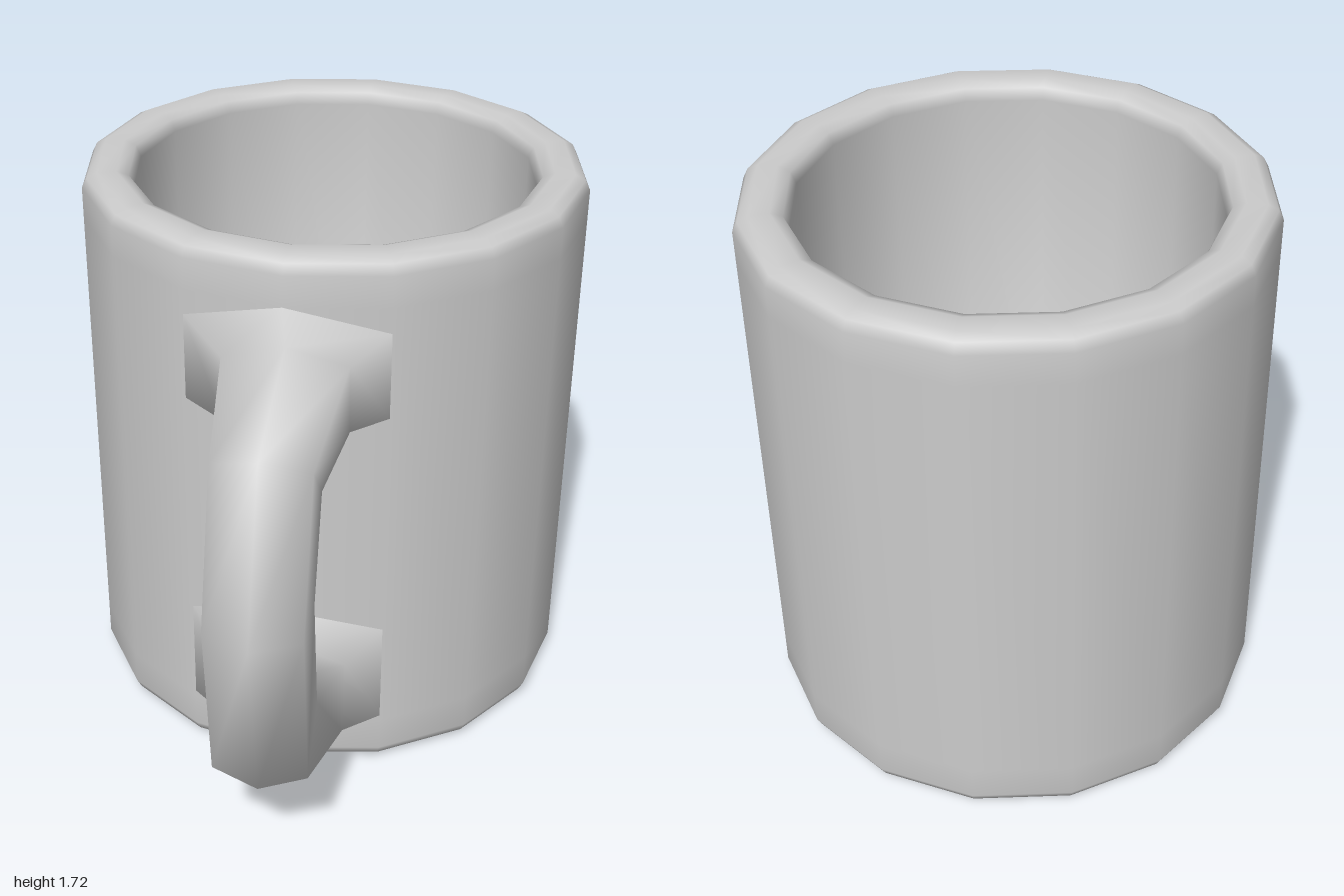
import * as THREE from 'three';

const DEG = Math.PI / 180;
const RADIUS = 0.765;
const TURN = 6; // angle of the first body corner, degrees from +z towards +x
const HANDLE = 30.5; // heading of the handle

// Hexagonal ring in the handle's own frame (r: away from the body axis, t: sideways).
// tilt is the direction of the outer ridge in the r-y plane.
function section(r, y, tilt, ridge, side, halfWidth) {
  const dr = Math.cos(tilt * DEG), dy = Math.sin(tilt * DEG);
  const at = (d, t) => [r + dr * d, y + dy * d, t];
  return [
    at(ridge, 0), at(side, halfWidth), at(-side, halfWidth),
    at(-ridge, 0), at(-side, -halfWidth), at(side, -halfWidth),
  ];
}

// Ring where the handle meets the wall, resting on three body corners.
function foot(y, up, ridge, side) {
  const at = (corner, dy) => {
    const a = (TURN + corner * 22.5 - HANDLE) * DEG;
    return [RADIUS * Math.cos(a), y + up * dy, RADIUS * Math.sin(a)];
  };
  return [at(1, ridge), at(2, side), at(2, -side), at(1, -ridge), at(0, -side), at(0, side)];
}

// Joins consecutive rings with quads.
function loft(rings) {
  const n = rings[0].length, index = [];
  const c = Math.cos(HANDLE * DEG), s = Math.sin(HANDLE * DEG);
  const position = rings.flat().flatMap(([r, y, t]) => [r * s + t * c, y, r * c - t * s]);
  for (let i = 0; i < rings.length - 1; i++) {
    for (let j = 0; j < n; j++) {
      const a = i * n + j, b = i * n + (j + 1) % n;
      index.push(a, a + n, b, b, a + n, b + n);
    }
  }
  const geometry = new THREE.BufferGeometry();
  geometry.setAttribute('position', new THREE.Float32BufferAttribute(position, 3));
  geometry.setIndex(index);
  geometry.computeVertexNormals();
  return geometry;
}

export function createModel() {
  const mug = new THREE.Group();
  mug.name = 'mug';
  const material = new THREE.MeshStandardMaterial({ color: 0xcccccc });

  // Body: sixteen-sided cup with rounded foot and rim, hollow inside
  const profile = [
    [0, 0], [0.69, 0], [0.72, 0.003], [0.75, 0.02], [RADIUS, 0.05], [RADIUS, 0.16],
    [RADIUS, 1.58], [RADIUS, 1.675], [0.75, 1.705], [0.72, 1.72], [0.66, 1.72],
    [0.625, 1.705], [0.61, 1.67], [0.61, 0.14], [0, 0.12],
  ].map(([x, y]) => new THREE.Vector2(x, y));
  const body = new THREE.Mesh(new THREE.LatheGeometry(profile, 16, TURN * DEG), material);
  body.name = 'body';

  // Handle: six-sided loop flaring out onto the wall at both ends
  const handle = new THREE.Mesh(loft([
    foot(1.372, 1, 0.21, 0.132),
    section(0.86, 1.37, 85, 0.15, 0.105, 0.175),
    section(1.15, 1.285, 45, 0.16, 0.1, 0.135),
    section(1.275, 0.925, 0, 0.148, 0.085, 0.135),
    section(1.205, 0.475, -42, 0.15, 0.105, 0.135),
    section(0.87, 0.36, -80, 0.16, 0.11, 0.175),
    foot(0.345, -1, 0.232, 0.165),
  ]), material);
  handle.name = 'handle';

  mug.add(body, handle);
  mug.position.set(-0.033, 0, -0.24);

  const model = new THREE.Group();
  model.add(mug);
  return model;
}
